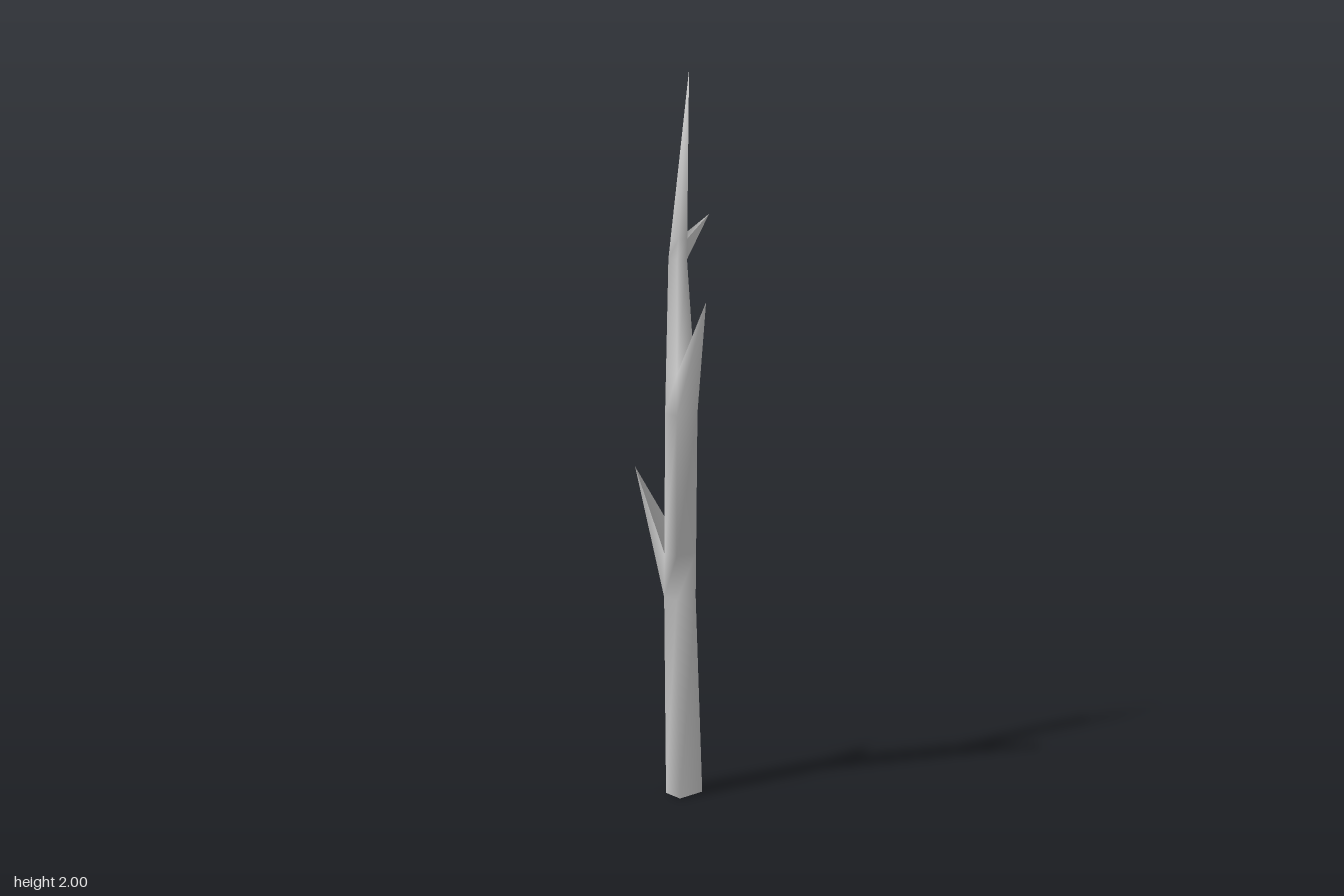
import * as THREE from 'three';

// Trunk bends: height and the x / z limits of the four-sided section
const BENDS = [
  { y: 0, x: [-0.062, 0.021], z: [-0.032, 0.028] },
  { y: 0.56, x: [-0.045, 0.025], z: [-0.058, -0.005] },
  { y: 1.09, x: [-0.093, -0.02], z: [0.004, 0.053] },
  { y: 1.5, x: [-0.046, -0.011], z: [-0.036, 0] },
  { y: 2, x: [0.005, 0.005], z: [-0.01, -0.01] },
];

// Spikes growing from a trunk side (0 front, 1 left, 2 back), just above a bend
const SPIKES = [
  { name: 'lowerBackTwig', bend: 1, side: 2, top: 0.69, tip: [-0.088, 0.925, -0.13] },
  { name: 'middleFrontTwig', bend: 2, side: 0, top: 1.2, tip: [-0.058, 1.4, 0.13] },
  { name: 'upperSideTwig', bend: 3, side: 1, top: 1.555, tip: [0.09, 1.615, -0.025] },
];

// Section part of the way from one bend to the next
function between(a, b, y) {
  const t = (y - a.y) / (b.y - a.y);
  const mix = (p, q) => p.map((v, i) => THREE.MathUtils.lerp(v, q[i], t));
  return { y, x: mix(a.x, b.x), z: mix(a.z, b.z) };
}

export function createModel() {
  const group = new THREE.Group();
  const material = new THREE.MeshStandardMaterial({ color: 0xcccccc });

  // Rings at each bend, plus one at the crotch of each spike
  const rings = [];
  BENDS.forEach((bend, i) => {
    const spike = SPIKES.find((s) => s.bend === i);
    rings.push({ ...bend, spike });
    if (spike) rings.push(between(bend, BENDS[i + 1], spike.top));
  });
  const apex = rings.pop();

  const points = [];
  for (const { y, x, z } of rings) {
    points.push(x[0], y, z[1], x[1], y, z[1], x[1], y, z[0], x[0], y, z[0]);
  }
  const addPoint = (p) => points.push(...p) / 3 - 1;
  const apexIndex = addPoint([apex.x[0], apex.y, apex.z[0]]);

  // Trunk sides, opened where a spike grows out
  const trunk = [];
  const parts = [['trunk', trunk]];
  rings.forEach((ring, r) => {
    for (let s = 0; s < 4; s++) {
      const a = r * 4 + s;
      const b = r * 4 + ((s + 1) % 4);
      const c = b + 4;
      const d = a + 4;
      if (r === rings.length - 1) {
        trunk.push(a, b, apexIndex);
      } else if (ring.spike && ring.spike.side === s) {
        const t = addPoint(ring.spike.tip);
        parts.push([ring.spike.name, [a, b, t, b, c, t, c, d, t, d, a, t]]);
      } else {
        trunk.push(a, b, c, a, c, d);
      }
    }
  });

  // Smooth normals run across trunk and spikes together
  const whole = new THREE.BufferGeometry();
  whole.setAttribute('position', new THREE.Float32BufferAttribute(points, 3));
  whole.setIndex(parts.flatMap(([, index]) => index));
  whole.computeVertexNormals();

  for (const [name, index] of parts) {
    const geometry = new THREE.BufferGeometry();
    geometry.setAttribute('position', whole.getAttribute('position'));
    geometry.setAttribute('normal', whole.getAttribute('normal'));
    geometry.setIndex(index);
    const mesh = new THREE.Mesh(geometry, material);
    mesh.name = name;
    group.add(mesh);
  }

  // Flat cut at the foot
  const { x, z } = BENDS[0];
  const foot = new THREE.Mesh(new THREE.PlaneGeometry(x[1] - x[0], z[1] - z[0]), material);
  foot.rotation.x = Math.PI / 2;
  foot.position.set((x[0] + x[1]) / 2, 0, (z[0] + z[1]) / 2);
  foot.name = 'trunkFoot';
  group.add(foot);

  return group;
}
